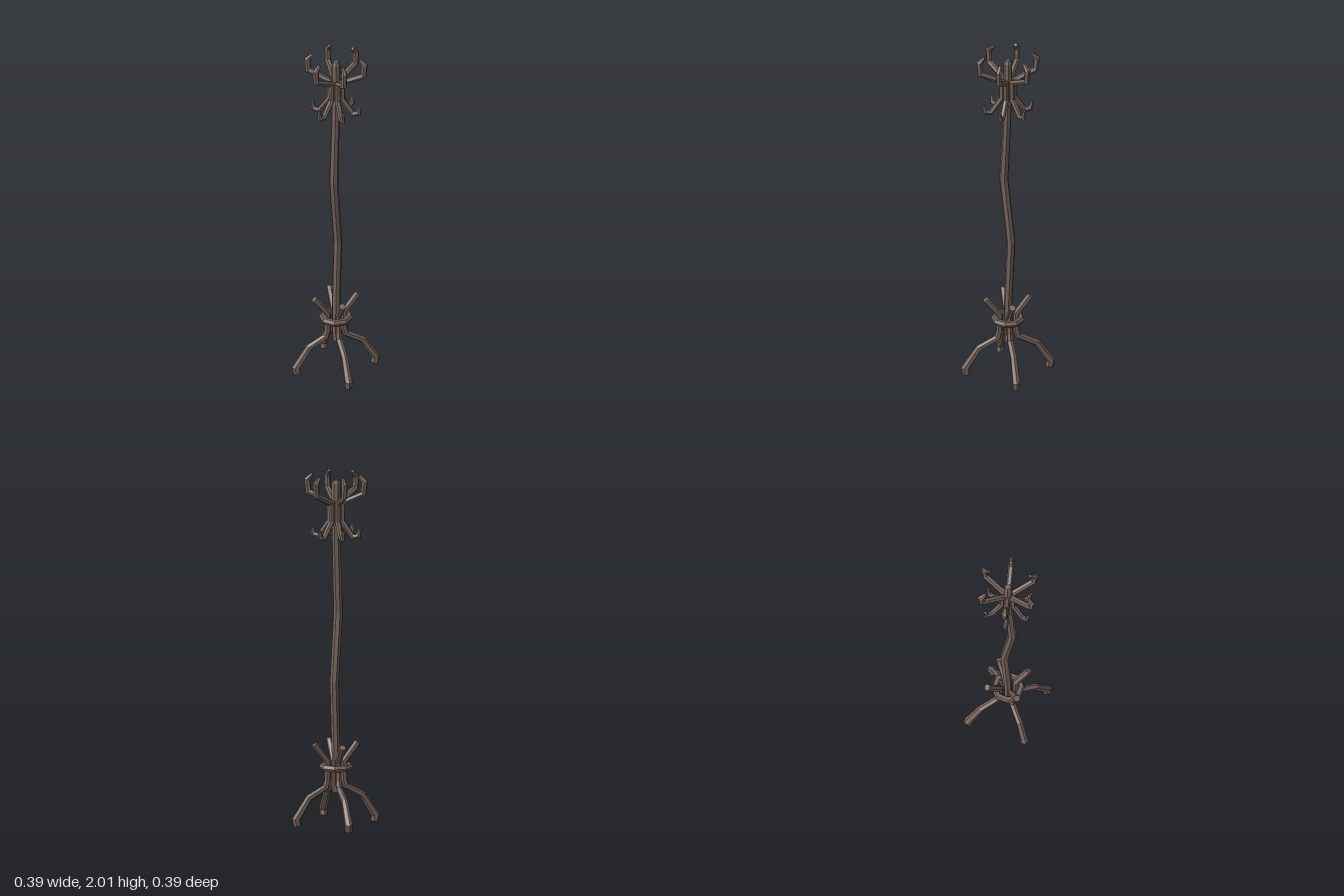
import * as THREE from 'three';

const wood = new THREE.MeshStandardMaterial({ color: 0x75645c });
wood.name = 'dark brown wood';

// Faceted branch along a flat path of [reach, height, radius], with mitred joints and closed ends
function branch(name, path, sides, yaw, phase = 0) {
  const pts = path.map(([x, y]) => new THREE.Vector2(x, y));
  const last = pts.length - 1;
  const pos = [], index = [];
  pts.forEach((p, i) => {
    const before = pts[i].clone().sub(pts[Math.max(i - 1, 0)]).normalize();
    const after = pts[Math.min(i + 1, last)].clone().sub(pts[i]).normalize();
    const t = before.clone().add(after).normalize();
    const stretch = 1 / Math.max(0.7, i === 0 || i === last ? 1 : t.dot(after));
    for (let j = 0; j < sides; j++) {
      const a = ((j + phase) / sides) * Math.PI * 2;
      const r = path[i][2], n = Math.cos(a) * r * stretch;
      pos.push(p.x - t.y * n, p.y + t.x * n, Math.sin(a) * r);
    }
  });
  for (let i = 0; i < last; i++) {
    for (let j = 0; j < sides; j++) {
      const k = (j + 1) % sides;
      const a = i * sides + j, b = i * sides + k;
      index.push(a, b, a + sides, b, b + sides, a + sides);
    }
  }
  for (let j = 1; j < sides - 1; j++) {
    const e = last * sides;
    index.push(0, j + 1, j, e, e + j, e + j + 1);
  }
  const indexed = new THREE.BufferGeometry();
  indexed.setAttribute('position', new THREE.Float32BufferAttribute(pos, 3));
  indexed.setIndex(index);
  const geometry = indexed.toNonIndexed();
  geometry.computeVertexNormals();
  const mesh = new THREE.Mesh(geometry, wood);
  mesh.name = name;
  mesh.rotation.y = yaw;
  return mesh;
}

export function createModel() {
  const model = new THREE.Group();
  model.name = 'coatStand';

  // Gently crooked trunk, bending forward and back
  model.add(branch('trunk', [
    [0, 0.18, 0.022], [0, 0.4, 0.024], [-0.02, 0.81, 0.025], [0.027, 1.2, 0.026],
    [0.008, 1.55, 0.024], [0, 1.8, 0.025], [0, 1.945, 0.025], [0, 1.965, 0.017],
  ], 7, -Math.PI / 2));

  // Four legs, clasping the trunk and splaying out again above the band
  const legs = new THREE.Group();
  legs.name = 'legs';
  for (let i = 0; i < 4; i++) {
    const k = i % 2 ? 1.02 : 0.97;
    legs.add(branch('leg', [
      [0.232 * k, 0, 0.023], [0.24 * k, 0.035, 0.023], [0.162 * k, 0.155, 0.019],
      [0.06, 0.21, 0.018], [0.048, 0.25, 0.018], [0.048, 0.355, 0.018], [0.127, 0.458, 0.02],
    ], 6, Math.PI / 4 + i * Math.PI / 2));
  }
  model.add(legs);

  // Octagonal band around the legs
  const ring = new THREE.TorusGeometry(0.076, 0.02, 6, 8)
    .rotateX(Math.PI / 2).rotateY(Math.PI / 8).toNonIndexed();
  ring.computeVertexNormals();
  const band = new THREE.Mesh(ring, wood);
  band.name = 'band';
  band.position.y = 0.325;
  model.add(band);

  // Six hook branches, each with a small lower hook and a large upper hook
  const hooks = new THREE.Group();
  hooks.name = 'hooks';
  for (let i = 0; i < 6; i++) {
    hooks.add(branch('hook', [
      [0.138, 1.695, 0.008], [0.13, 1.65, 0.015], [0.098, 1.643, 0.015], [0.036, 1.73, 0.016],
      [0.036, 1.835, 0.017], [0.158, 1.893, 0.017], [0.165, 1.962, 0.017], [0.135, 1.994, 0.01],
    ], 6, Math.PI / 12 + i * Math.PI / 3, 0.5));
  }
  model.add(hooks);

  return model;
}
